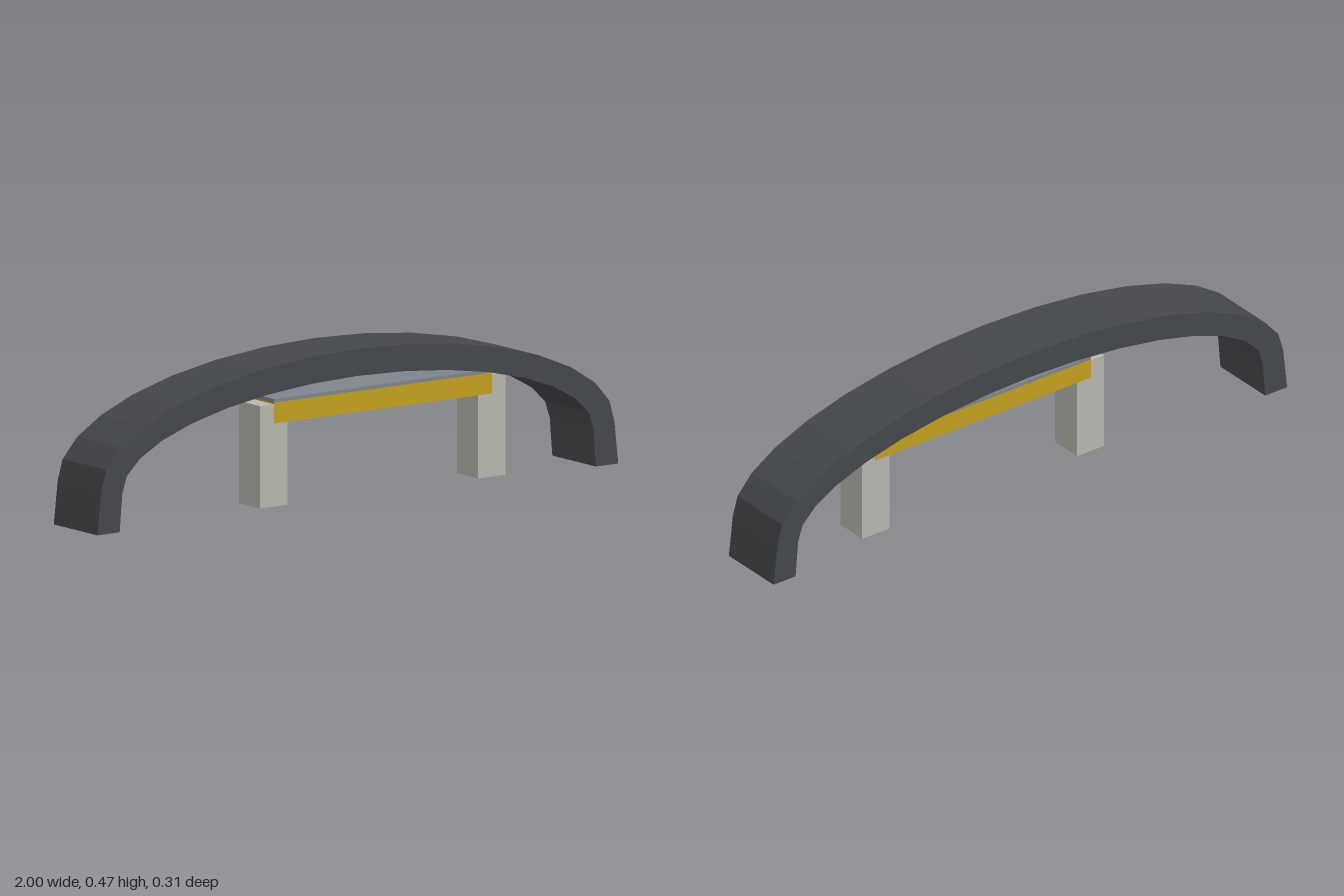
import * as THREE from 'three';

const DEPTH = 0.225;
const mat = (color) => new THREE.MeshStandardMaterial({ color, flatShading: true });

function box(name, material, x0, x1, y0, y1, depth) {
  const mesh = new THREE.Mesh(new THREE.BoxGeometry(x1 - x0, y1 - y0, depth), material);
  mesh.position.set((x0 + x1) / 2, (y0 + y1) / 2, 0);
  mesh.name = name;
  return mesh;
}

// Half-ellipse on top of slightly splayed straight feet, from +x to -x
function archLine(footX, a, b, cy, segments = 16) {
  const pts = [new THREE.Vector2(footX, 0)];
  for (let i = 0; i <= segments; i++) {
    const t = (i / segments) * Math.PI;
    pts.push(new THREE.Vector2(a * Math.cos(t), cy + b * Math.sin(t)));
  }
  pts.push(new THREE.Vector2(-footX, 0));
  return pts;
}

export function createModel() {
  const model = new THREE.Group();
  model.name = 'archedBench';

  // Faceted arch spanning the whole length
  const outer = archLine(0.995, 0.98, 0.335, 0.135);
  const inner = archLine(0.91, 0.9, 0.266, 0.12).reverse();
  const archGeo = new THREE.ExtrudeGeometry(new THREE.Shape([...outer, ...inner]), {
    depth: DEPTH, bevelEnabled: false,
  });
  archGeo.translate(0, 0, -DEPTH / 2);
  const arch = new THREE.Mesh(archGeo, mat(0x45484b));
  arch.name = 'arch';
  model.add(arch);

  // Two square posts, off-centre under the arch
  const postMat = mat(0xb8b8b0);
  for (const [name, x] of [['rightPost', -0.278], ['leftPost', 0.555]]) {
    model.add(box(name, postMat, x - 0.0525, x + 0.0525, 0, 0.32, 0.11));
  }

  // Beam between the post centres, with a thin plate on top
  model.add(box('beam', mat(0xc4a01e), -0.278, 0.555, 0.26, 0.325, 0.111));
  model.add(box('topPlate', mat(0x7d858c), -0.278, 0.555, 0.325, 0.336, 0.111));

  // The whole piece is turned slightly about the vertical
  model.rotation.y = -0.0425;
  return model;
}
